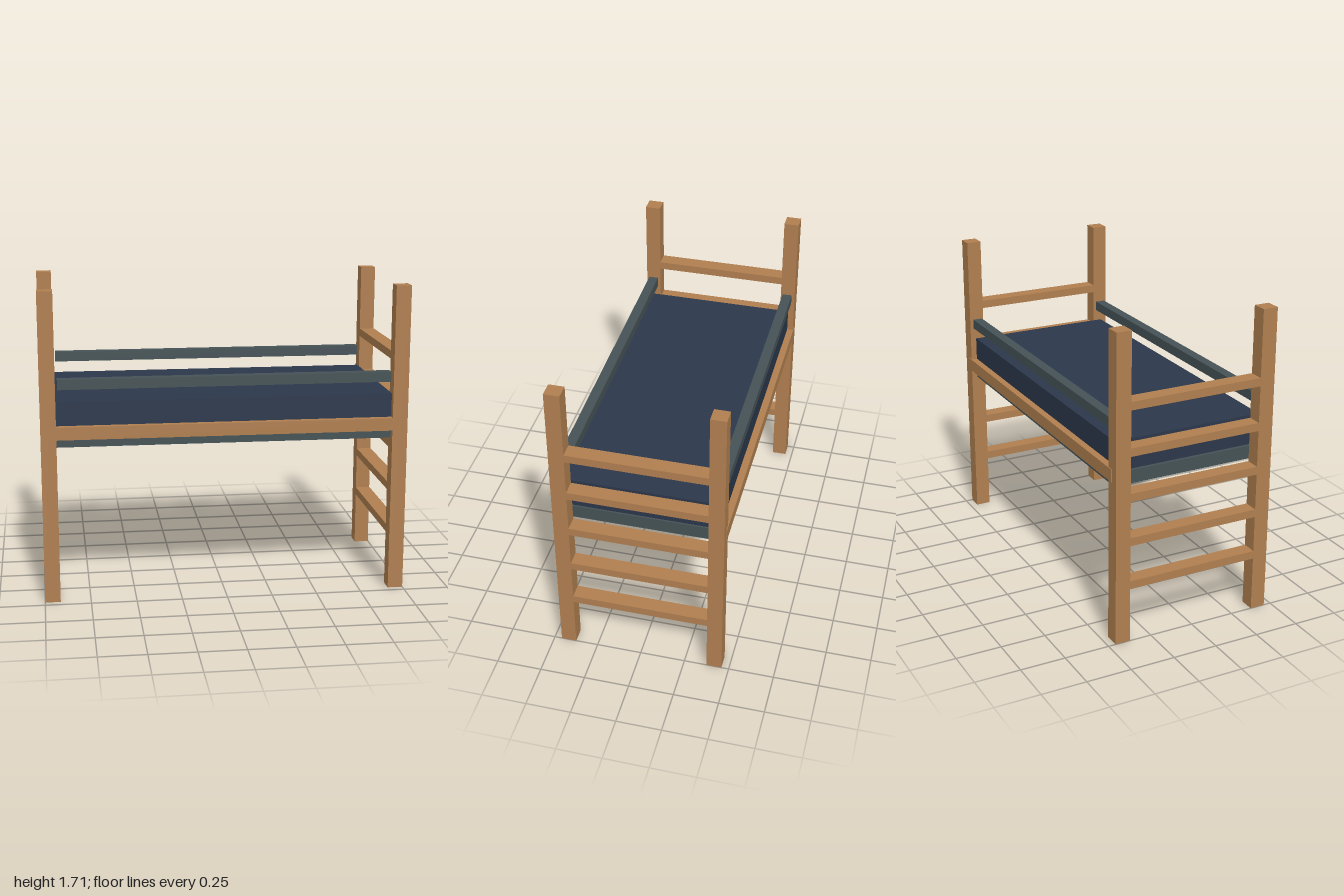
import * as THREE from 'three';

export function createModel() {
  const bed = new THREE.Group();
  bed.name = 'loftBed';

  const material = (color) => new THREE.MeshStandardMaterial({ color, flatShading: true });
  const wood = material(0xb07f50);
  const navy = material(0x2b374b);
  const slate = material(0x455256);

  // Box given by its size and centre
  function box(name, mat, [w, h, d], [x, y, z], parent = bed) {
    const mesh = new THREE.Mesh(new THREE.BoxGeometry(w, h, d), mat);
    mesh.name = name;
    mesh.position.set(x, y, z);
    parent.add(mesh);
  }

  const postX = 0.958, postZ = 0.417, postSize = 0.084, postHeight = 1.708;

  // Ladder-like ends: two posts joined by five rungs
  for (const side of [-1, 1]) {
    const end = new THREE.Group();
    end.name = side > 0 ? 'leftEnd' : 'rightEnd';
    bed.add(end);
    for (const s of [-1, 1]) {
      box(s > 0 ? 'frontPost' : 'backPost', wood, [postSize, postHeight, postSize],
        [side * postX, postHeight / 2, s * postZ], end);
    }
    for (let i = 0; i < 5; i++) {
      box('rung' + (i + 1), wood, [postSize, 0.045, 2 * postZ - postSize],
        [side * postX, 0.328 + i * 0.2475, 0], end);
    }
  }

  // Long side rails let into the posts, and guard rails above the mattress
  for (const s of [-1, 1]) {
    const prefix = s > 0 ? 'front' : 'back';
    box(prefix + 'SideRail', wood, [1.91, 0.07, 0.038], [0, 0.945, s * 0.444]);
    box(prefix + 'GuardRail', slate, [1.81, 0.055, 0.055], [0, 1.207, s * 0.415]);
  }

  // Bed base with the mattress just above it
  box('bedBase', slate, [1.834, 0.073, 0.85], [0, 0.8985, 0]);
  box('mattress', navy, [1.834, 0.166, 0.85], [0, 1.027, 0]);

  return bed;
}
